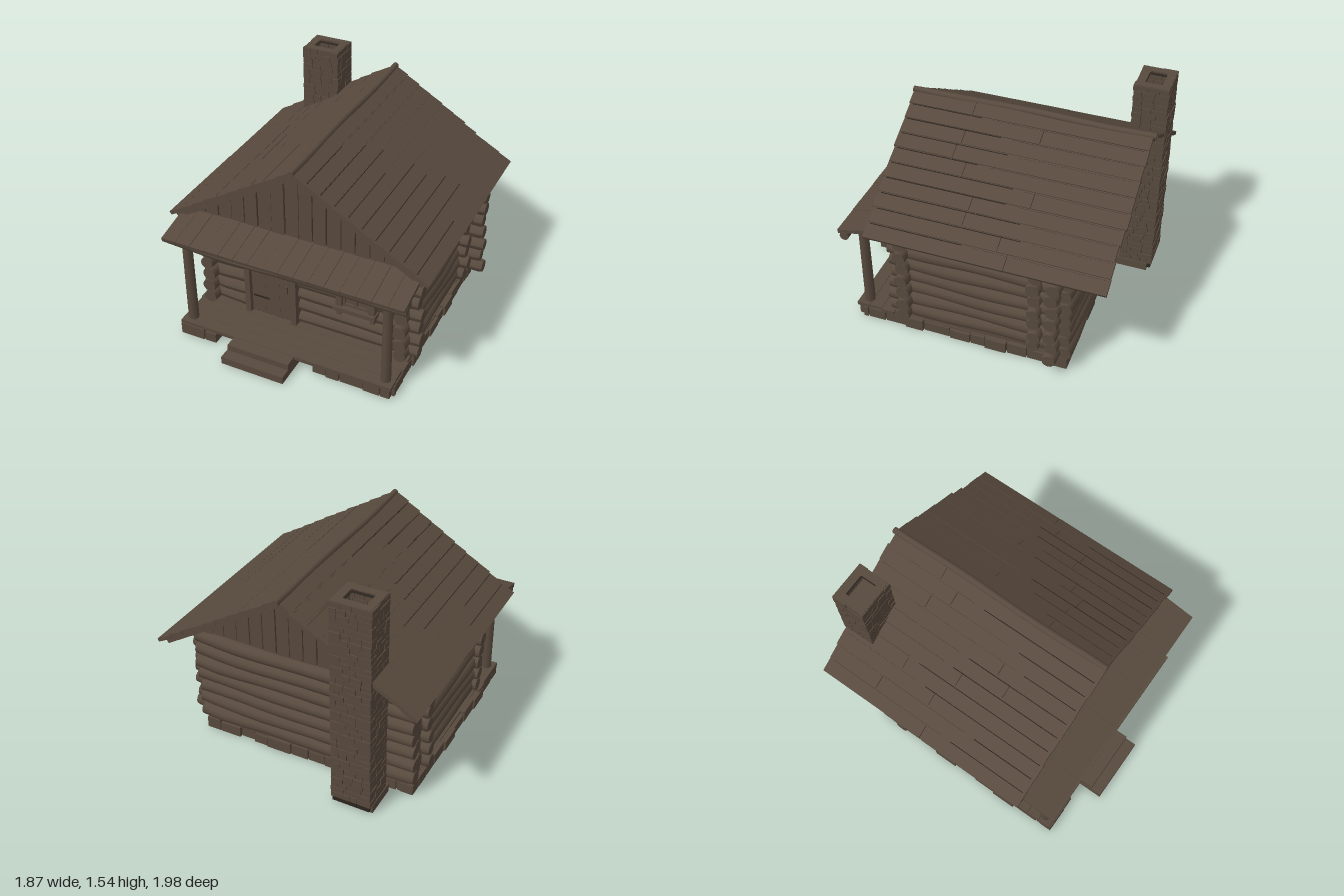
import * as THREE from 'three';

export function createModel() {
  const root = new THREE.Group();
  const brown = new THREE.MeshStandardMaterial({ color: 0x57493d });
  brown.name = 'weatheredBrown';
  const dark = new THREE.MeshStandardMaterial({ color: 0x2c251f });
  dark.name = 'darkGap';

  let seed = 7;
  const rnd = (a, b) => {
    seed = (seed * 16807) % 2147483647;
    return a + (b - a) * (seed / 2147483647);
  };
  const group = (name) => {
    const g = new THREE.Group();
    g.name = name;
    root.add(g);
    return g;
  };
  const add = (parent, name, geo, x, y, z, mat = brown) => {
    const m = new THREE.Mesh(geo, mat);
    m.name = name;
    m.position.set(x, y, z);
    parent.add(m);
    return m;
  };
  // Box given by its limits on each axis
  const box = (parent, name, x0, x1, y0, y1, z0, z1, mat) =>
    add(parent, name, new THREE.BoxGeometry(x1 - x0, y1 - y0, z1 - z0),
      (x0 + x1) / 2, (y0 + y1) / 2, (z0 + z1) / 2, mat);

  // Slightly wavy log with bevelled ends, along x or z
  const log = (parent, name, axis, a, b, y, off, r) => {
    const len = b - a, geo = new THREE.CylinderGeometry(r, r, len, 12, 10);
    const p = geo.attributes.position, ph = rnd(0, 6);
    for (let i = 0; i < p.count; i++) {
      const t = p.getY(i), end = Math.abs(t) > len / 2 - 0.001;
      const k = (end ? 0.88 : 1) * (1 + 0.05 * Math.sin(t * 9 + ph));
      p.setX(i, p.getX(i) * k + 0.005 * Math.sin(t * 5 + ph));
      p.setZ(i, p.getZ(i) * k + 0.004 * Math.cos(t * 6 + ph));
    }
    geo.computeVertexNormals();
    const c = (a + b) / 2;
    const m = add(parent, name, geo, axis === 'x' ? c : off, y, axis === 'x' ? off : c);
    if (axis === 'x') m.rotation.z = Math.PI / 2;
    else m.rotation.x = Math.PI / 2;
    return m;
  };

  // Foundation: core with a ring of uneven stones, open in front beside the steps
  const base = group('foundation');
  box(base, 'foundationCore', -0.77, 0.76, 0, 0.08, -0.66, 0.76);
  box(base, 'wallSill', -0.75, 0.75, 0.07, 0.11, -0.67, 0.47);
  const stones = (from, to, place) => {
    for (let t = from; t < to - 0.02;) {
      const e = Math.min(to, t + rnd(0.1, 0.2));
      place(t + 0.004, e - 0.004, rnd(-0.014, 0.012), rnd(0.065, 0.085));
      t = e;
    }
  };
  for (const s of [-1, 1]) {
    stones(-0.68, s > 0 ? 0.79 : 0.83, (a, b, j, h) => {
      const x = s * 0.75 + j - 0.008;
      box(base, 'foundationStone', x - 0.045, x + 0.045, 0, h, a, b);
    });
  }
  const acrossStone = (z) => (a, b, j, h) =>
    box(base, 'foundationStone', a, b, 0, h, z + j - 0.045, z + j + 0.045);
  stones(-0.8, 0.79, acrossStone(-0.635));
  stones(-0.8, -0.52, acrossStone(0.79));
  stones(0.2, 0.77, acrossStone(0.77));

  // Porch floor and steps
  const porch = group('porch');
  for (let i = 0; i < 4; i++) {
    const z = 0.46 + i * 0.094;
    box(porch, 'floorBoard', -0.81 + rnd(-0.01, 0.01), 0.785 + rnd(-0.01, 0.01), 0.08, 0.104, z, z + 0.092);
  }
  box(porch, 'upperStep', -0.38, 0.08, 0.045, 0.1, 0.75, 0.92);
  box(porch, 'lowerStep', -0.385, 0.08, 0, 0.055, 0.75, 1.0);

  // Log walls with crossing corners
  const walls = group('logWalls');
  for (let i = 0; i < 7; i++) {
    const y = 0.145 + i * 0.1, r = 0.053;
    log(walls, 'frontLog', 'x', -0.8 + rnd(-0.015, 0.01), 0.82 + rnd(-0.01, 0.02), y, 0.46, r);
    log(walls, 'backLog', 'x', -0.8 + rnd(-0.015, 0.01), 0.81 + rnd(-0.01, 0.015), y + 0.01, -0.67, r);
    for (const s of [-1, 1]) {
      log(walls, 'sideLog', 'z', -0.68, 0.57 + rnd(-0.02, 0.02), y, s * 0.72, r);
      // Two columns of short log ends near the back
      for (const [z, reach] of [[-0.46, 0.82], [-0.6, s > 0 ? 0.89 : 0.8]]) {
        const a = s * 0.62, b = s * (reach + rnd(-0.015, 0.015));
        log(walls, 'cornerStub', 'x', Math.min(a, b), Math.max(a, b), y + rnd(-0.006, 0.006), z + rnd(-0.006, 0.006), 0.05);
      }
    }
  }
  // Top side logs closing the wall up to the roof
  for (const s of [-1, 1]) {
    log(walls, 'topSideLog', 'z', -0.68, 0.555, 0.84, s * 0.72, 0.05);
    log(walls, 'topSideLog', 'z', -0.68, 0.555, 0.905, s * 0.71, 0.04);
  }
  add(walls, 'roundPeg', new THREE.CylinderGeometry(0.03, 0.03, 0.06, 12), 0.06, 0.685, 0.5).rotation.x = Math.PI / 2;

  // Gables of upright boards cut to the roof slope
  const slope = 0.57 / 0.93;
  const roofY = (x) => 1.385 - slope * Math.abs(x);
  const plate = (pts, depth) => new THREE.ExtrudeGeometry(
    new THREE.Shape(pts.map(([x, y]) => new THREE.Vector2(x, y))), { depth, bevelEnabled: false });
  const gables = group('gables');
  for (const front of [true, false]) {
    const z = front ? 0.54 : -0.665;
    add(gables, 'gableBacking', plate([[-0.79, 0.8], [0.79, 0.8], [0.79, roofY(0.79)], [0, 1.385], [-0.79, roofY(0.79)]], 0.02), 0, 0, z, dark);
    for (let i = -8; i < 8; i++) {
      const a = i * 0.1 + 0.003, b = a + rnd(0.09, 0.096);
      add(gables, 'gableBoard', plate([[a, 0.8], [b, 0.8], [b, roofY(b)], [a, roofY(a)]], 0.016),
        0, 0, (front ? z + 0.016 : z - 0.012) + rnd(-0.003, 0.003));
    }
  }

  // Main roof: lapped planks running front to back
  const roof = group('roof');
  const ang = Math.atan2(0.57, 0.93), run = Math.hypot(0.93, 0.57) - 0.006, rows = 10, w = run / rows;
  for (const s of [-1, 1]) {
    const side = new THREE.Group();
    side.name = 'roofSlope';
    side.position.y = 1.425;
    side.rotation.z = -s * ang;
    roof.add(side);
    // Within the slope, local x runs down towards the eave
    const span = (name, d0, d1, y0, y1, z0, z1, mat) =>
      box(side, name, Math.min(s * d0, s * d1), Math.max(s * d0, s * d1), y0, y1, z0, z1, mat);
    span('roofDeck', 0, run - 0.02, -0.035, -0.018, -0.9, 0.63);
    for (const [z0, z1] of [[0.6, 0.635], [-0.91, -0.88]]) span('bargeBoard', 0.02, run - 0.02, -0.06, -0.02, z0, z1);
    for (let k = 0; k < rows; k++) {
      const d = k * w, fz = 0.67 - 0.02 * k / rows + rnd(-0.006, 0.005);
      const bz = -0.975 + 0.03 * k / rows + rnd(-0.012, 0.012);
      const joint = rnd(-0.6, 0.4);
      for (const [z0, z1] of [[bz, joint - 0.002], [joint + 0.002, fz]]) {
        const m = span('roofPlank', d - 0.004, d + w + rnd(0.002, 0.007), -0.02, 0.003 + rnd(0, 0.003), z0, z1);
        m.rotation.z = s * 0.06;
      }
      if (k) {
        const c = rnd(-0.5, 0.2);
        span('plankGap', d + 0.009, d + 0.015, -0.002, 0.006, bz + 0.03, c);
        span('plankGap', d + 0.009, d + 0.014, -0.002, 0.005, c + 0.08, fz - 0.02, dark);
      }
    }
  }
  log(roof, 'ridgePole', 'z', -0.985, 0.675, 1.418, 0, 0.024);

  // Porch roof of short boards, on a beam and two posts
  const tilt = Math.atan2(0.08, 0.35);
  for (let i = 0; i < 16; i++) {
    const a = -0.865 + i * 0.108, len = 0.37 + rnd(-0.012, 0.008);
    const m = add(porch, 'porchRoofBoard', new THREE.BoxGeometry(0.106, 0.024 + rnd(0, 0.006), len),
      a + 0.054, 0.832, 0.874 - len / 2);
    m.rotation.x = tilt;
  }
  log(porch, 'porchBeam', 'x', -0.865, 0.865, 0.768, 0.825, 0.034);
  for (const x of [-0.74, 0.715]) {
    add(porch, 'porchPost', new THREE.CylinderGeometry(0.034, 0.037, 0.72, 8), x, 0.46, 0.765);
  }

  // Door
  const door = group('door');
  box(door, 'doorBacking', -0.41, -0.08, 0.1, 0.67, 0.46, 0.515, dark);
  for (let i = 0; i < 3; i++) {
    const a = -0.403 + i * 0.107;
    box(door, 'doorBoard', a, a + 0.106, 0.11, 0.665, 0.5, 0.52);
  }
  box(door, 'doorJamb', -0.445, -0.405, 0.1, 0.68, 0.45, 0.55);
  box(door, 'doorJamb', -0.09, -0.05, 0.1, 0.68, 0.45, 0.55);
  box(door, 'doorHeader', -0.475, -0.035, 0.668, 0.702, 0.45, 0.56);
  box(door, 'doorHandle', -0.135, -0.123, 0.34, 0.4, 0.52, 0.537);
  for (const y of [0.24, 0.585]) box(door, 'doorHinge', -0.39, -0.27, y, y + 0.012, 0.52, 0.526, dark);

  // Window
  const win = group('window');
  box(win, 'windowPane', 0.27, 0.51, 0.4, 0.64, 0.46, 0.518);
  for (const x of [0.25, 0.485]) box(win, 'windowSide', x, x + 0.045, 0.39, 0.64, 0.45, 0.55);
  box(win, 'windowHeader', 0.22, 0.55, 0.635, 0.667, 0.45, 0.56);
  box(win, 'windowSill', 0.235, 0.54, 0.367, 0.4, 0.45, 0.57);
  for (const x of [0.255, 0.5]) box(win, 'sillBracket', x, x + 0.03, 0.325, 0.37, 0.46, 0.55);
  for (const x of [0.295, 0.382, 0.469]) box(win, 'windowBar', x, x + 0.016, 0.4, 0.636, 0.515, 0.533);
  for (const y of [0.4, 0.505, 0.615]) box(win, 'windowBar', 0.295, 0.485, y, y + 0.018, 0.515, 0.531);

  // Chimney: hollow flue faced with courses of brick
  const chimney = group('chimney');
  const X0 = -0.63, X1 = -0.355, Z0 = -0.972, Z1 = -0.735, T = 0.06, top = 1.54;
  const rect = (x0, x1, z0, z1, C) => new C([[x0, z0], [x1, z0], [x1, z1], [x0, z1]].map(([x, z]) => new THREE.Vector2(x, -z)));
  const flue = rect(X0 + 0.006, X1 - 0.006, Z0 + 0.006, Z1 - 0.006, THREE.Shape);
  flue.holes.push(rect(X0 + T, X1 - T, Z0 + T, Z1 - T, THREE.Path));
  const core = (name, y, h, mat) => {
    add(chimney, name, new THREE.ExtrudeGeometry(flue, { depth: h, bevelEnabled: false }), 0, y, 0, mat).rotation.x = -Math.PI / 2;
  };
  core('mortarCore', 0.02, top - 0.05, dark);
  core('chimneyCap', top - 0.04, 0.04);
  box(chimney, 'flueFloor', X0 + 0.03, X1 - 0.03, 1.36, 1.4, Z0 + 0.03, Z1 - 0.03);
  box(chimney, 'chimneyFoot', X0 - 0.008, X1 + 0.008, 0, 0.06, Z0 + 0.03, Z1 + 0.03);
  const courses = 36, ch = (top - 0.06) / courses;
  for (let c = 0; c < courses; c++) {
    const y0 = 0.06 + c * ch, y1 = y0 + ch - 0.003;
    const course = (from, to, place) => {
      for (let t = from; t < to - 0.001;) {
        let e = t + rnd(0.05, 0.11);
        if (to - e < 0.035) e = to;
        place(t, e - (e < to ? 0.003 : 0), rnd(-0.003, 0.004));
        t = e;
      }
    };
    course(X0, X1, (a, b, j) => box(chimney, 'brick', a, b, y0, y1, Z0 - j, Z0 + 0.03));
    course(X0, X1, (a, b, j) => box(chimney, 'brick', a, b, y0, y1, Z1 - 0.03, Z1 + j));
    course(Z0 + 0.002, Z1 - 0.002, (a, b, j) => box(chimney, 'brick', X0 - j, X0 + 0.03, y0, y1, a, b));
    course(Z0 + 0.002, Z1 - 0.002, (a, b, j) => box(chimney, 'brick', X1 - 0.03, X1 + j, y0, y1, a, b));
  }
  return root;
}
